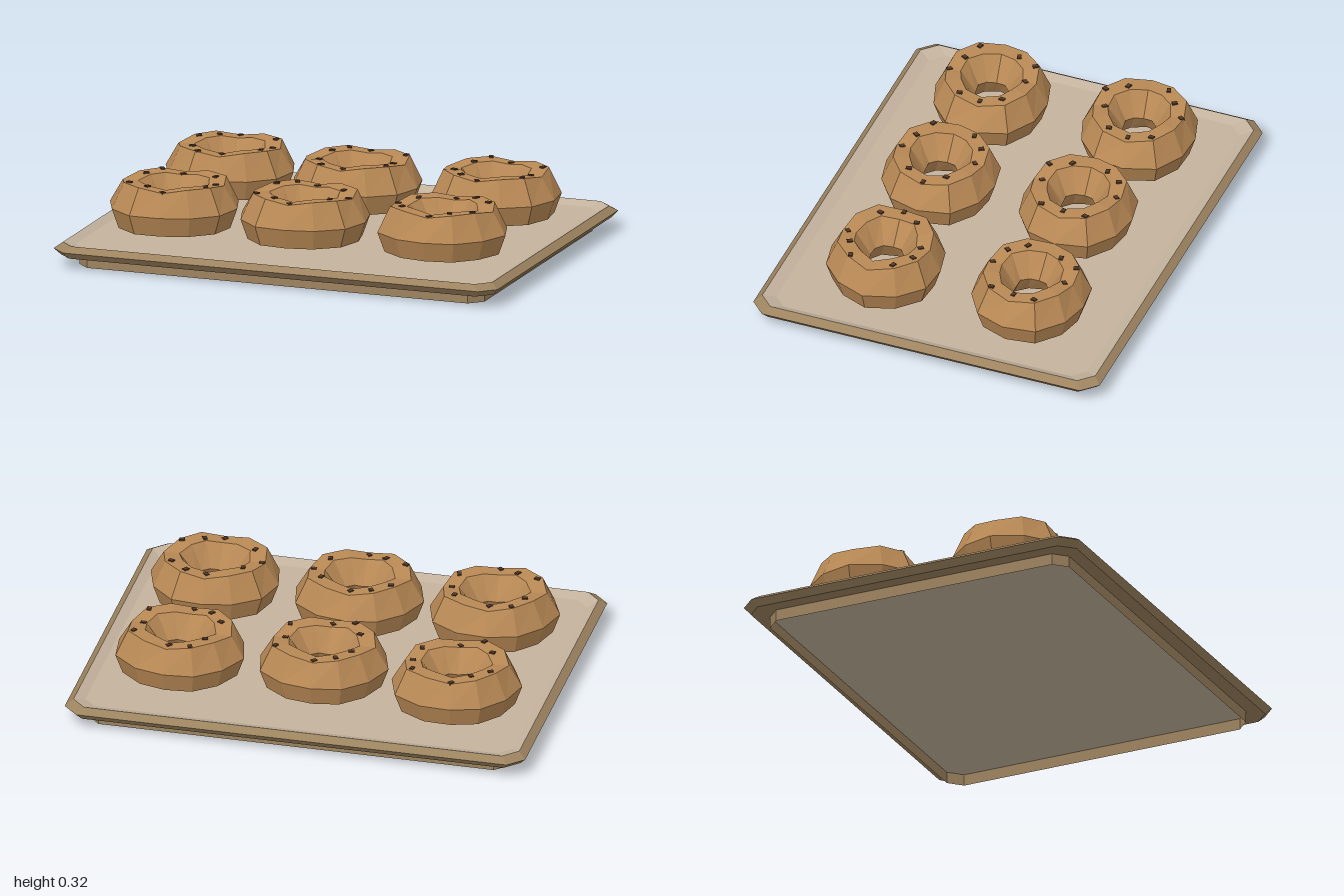
import * as THREE from 'three';

const material = (name, color) => {
  const m = new THREE.MeshStandardMaterial({ color, flatShading: true, side: THREE.DoubleSide });
  m.name = name;
  return m;
};

// Skin a list of rings, each running counter-clockwise seen from above
function loft(rings, closed = false) {
  const out = [];
  const tri = (...pts) => pts.forEach((p) => out.push(p.x, p.y, p.z));
  const n = rings[0].length;
  const count = closed ? rings.length : rings.length - 1;
  for (let j = 0; j < count; j++) {
    const a = rings[j], b = rings[(j + 1) % rings.length];
    for (let i = 0; i < n; i++) {
      const k = (i + 1) % n;
      tri(a[i], a[k], b[k]);
      tri(a[i], b[k], b[i]);
    }
  }
  return toGeometry(out);
}

// Flat sheet filling one ring, facing up or down
function sheet(ring, up) {
  const out = [];
  for (let i = 1; i < ring.length - 1; i++) {
    const [p, q] = up ? [ring[i], ring[i + 1]] : [ring[i + 1], ring[i]];
    [ring[0], p, q].forEach((v) => out.push(v.x, v.y, v.z));
  }
  return toGeometry(out);
}

function toGeometry(positions) {
  const g = new THREE.BufferGeometry();
  g.setAttribute('position', new THREE.Float32BufferAttribute(positions, 3));
  g.computeVertexNormals();
  return g;
}

// Rectangle with cut corners
function cutRect(hx, hz, c, y) {
  return [
    [hx, hz - c], [hx, -hz + c], [hx - c, -hz], [-hx + c, -hz],
    [-hx, -hz + c], [-hx, hz - c], [-hx + c, hz], [hx - c, hz],
  ].map(([x, z]) => new THREE.Vector3(x, y, z));
}

// Uneven outer radius of a bagel, every 30 degrees
const OUTLINE = [0.275, 0.282, 0.26, 0.247, 0.258, 0.262, 0.28, 0.272, 0.268, 0.245, 0.252, 0.272];
// Cross-section: fraction of the outer radius, height, wobble of height, wobble of radius
const SECTION = [
  [0.48, 0.12, 0, 0], [0.89, 0.12, 0, 0], [1, 0.205, 0, 0],
  [0.8, 0.312, -0.01, 0.012], [0.54, 0.309, -0.007, 0.03], [0.285, 0.21, -0.004, 0.03],
];

function bagelRings() {
  return SECTION.map(([f, y, lift, wobble], j) => OUTLINE.map((r, i) => {
    const a = (i / OUTLINE.length) * Math.PI * 2;
    const rad = r * f * (1 + wobble * Math.sin(i * 2.3 + j * 1.7));
    return new THREE.Vector3(Math.cos(a) * rad, y + lift * Math.cos(4 * a), -Math.sin(a) * rad);
  }));
}

export function createModel() {
  const group = new THREE.Group();
  const metal = material('tray rim tan', 0x9d835f);
  const lining = material('tray floor beige', 0xc3b29d);
  const crust = material('bagel crust', 0xb98955);
  const seed = material('dark seed', 0x4f3725);

  const add = (name, geometry, mat, parent = group) => {
    const mesh = new THREE.Mesh(geometry, mat);
    mesh.name = name;
    parent.add(mesh);
    return mesh;
  };

  // Tray: open foot band with a recessed underside, bevelled rim, shallow floor
  const footLow = cutRect(0.913, 0.7, 0.055, 0);
  const footTop = cutRect(0.913, 0.7, 0.055, 0.05);
  const rimTop = cutRect(0.968, 0.755, 0.06, 0.102);
  const floor = cutRect(0.928, 0.705, 0.055, 0.085);
  add('trayFoot', loft([footLow, footTop]), metal);
  add('trayUnderside', sheet(footTop, false), lining);
  add('trayRim', loft([
    footTop,
    cutRect(0.975, 0.762, 0.06, 0.05),
    cutRect(1, 0.785, 0.065, 0.078),
    rimTop,
  ]), metal);
  add('traySlope', loft([rimTop, floor]), lining);
  add('trayFloor', sheet(floor, true), lining);

  // Bagels: x, z, turn
  const rings = bagelRings();
  const bagel = loft(rings, true);
  const seedGeometry = new THREE.BoxGeometry(0.024, 0.01, 0.018);
  const places = [
    [-0.61, -0.352, 0.12], [-0.024, -0.307, 0], [0.59, -0.337, -0.08],
    [-0.61, 0.316, 0.1], [-0.024, 0.316, 0], [0.602, 0.313, Math.PI],
  ];
  places.forEach(([x, z, turn], b) => {
    const holder = new THREE.Group();
    holder.name = 'bagel' + (b + 1);
    holder.position.set(x, 0, z);
    holder.rotation.y = turn;
    group.add(holder);
    add('crust', bagel, crust, holder);

    // Seeds pressed into the crown
    for (let i = 0; i < OUTLINE.length; i++) {
      if (i % 4 === 2) continue;
      const s = add('seed', seedGeometry, seed, holder);
      s.position.lerpVectors(rings[3][i], rings[4][i], 0.5 + 0.3 * Math.sin(i * 3.7 + b));
      s.rotation.y = i * 1.3;
    }
  });
  return group;
}
